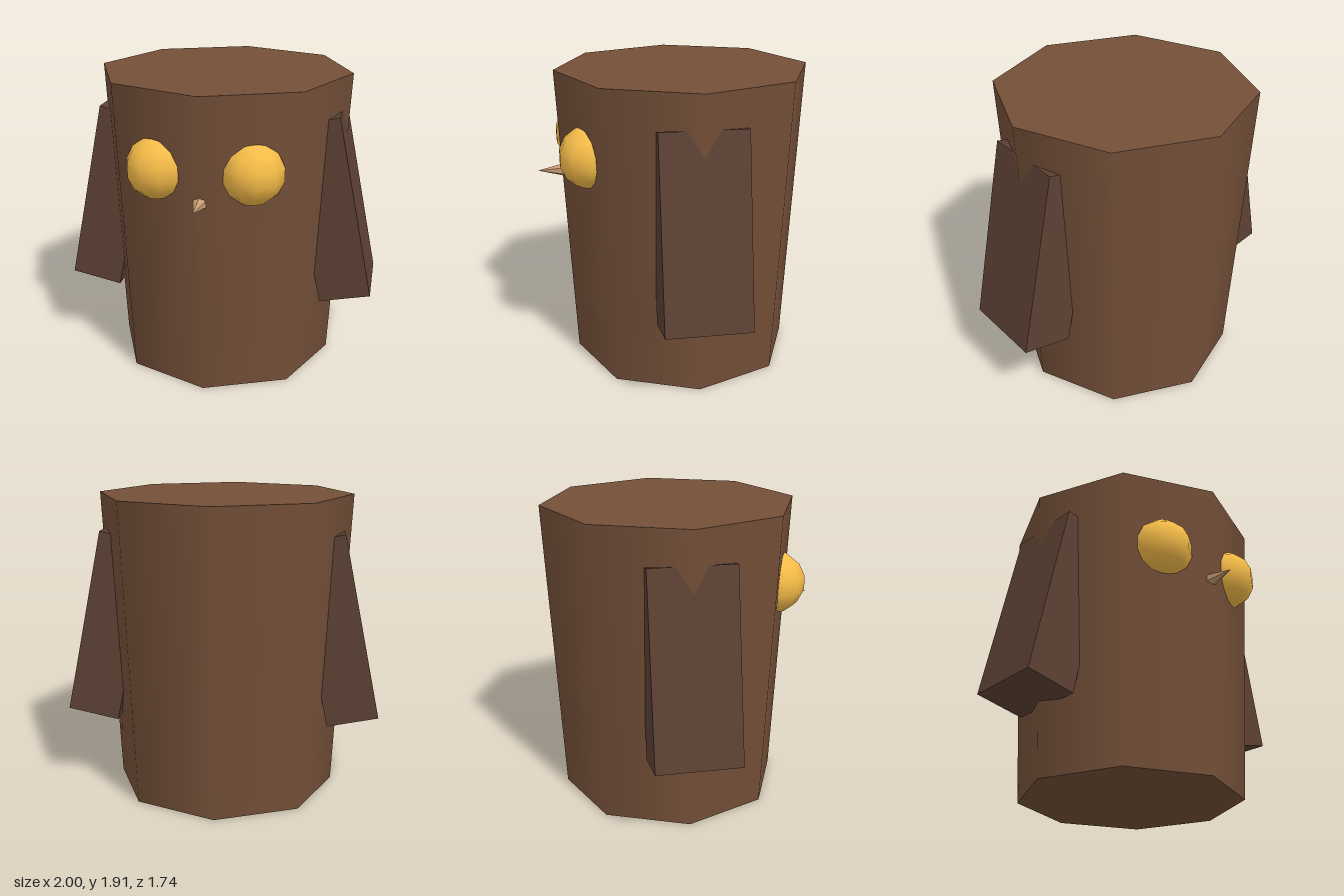
import * as THREE from 'three';

export function createModel() {
  const owl = new THREE.Group();
  owl.name = 'owl';
  const centreZ = -0.0625;

  const add = (name, geometry, color, position, flatShading = false) => {
    const mesh = new THREE.Mesh(geometry, new THREE.MeshStandardMaterial({ color, flatShading }));
    mesh.name = name;
    mesh.position.set(...position);
    owl.add(mesh);
    return mesh;
  };

  // Eight-sided tapered body, smooth around the sides, one ridge facing front
  const height = 1.915;
  add('body', new THREE.CylinderGeometry(0.81, 0.715, height, 8), 0x734f38, [0, height / 2, centreZ]);

  // Beak: six-sided cone pointing forward, its base sunk into the body
  const beak = add('beak', new THREE.ConeGeometry(0.051, 0.2, 6), 0xc89b72, [0, 1.27, 0.77], true);
  beak.rotation.x = Math.PI / 2;

  for (const [side, s] of [['left', 1], ['right', -1]]) {
    // Round eye half sunk into the front facet
    add(`${side}Eye`, new THREE.SphereGeometry(0.195, 10, 7), 0xf5bb48, [s * 0.288, 1.433, 0.556]);

    // Slab wing, its lower end swung outward
    const wing = add(`${side}Wing`, new THREE.BoxGeometry(0.33, 1.19, 0.53), 0x5c4033,
      [s * 0.718, 1.08, centreZ], true);
    wing.rotation.z = s * 0.205;
  }

  return owl;
}
